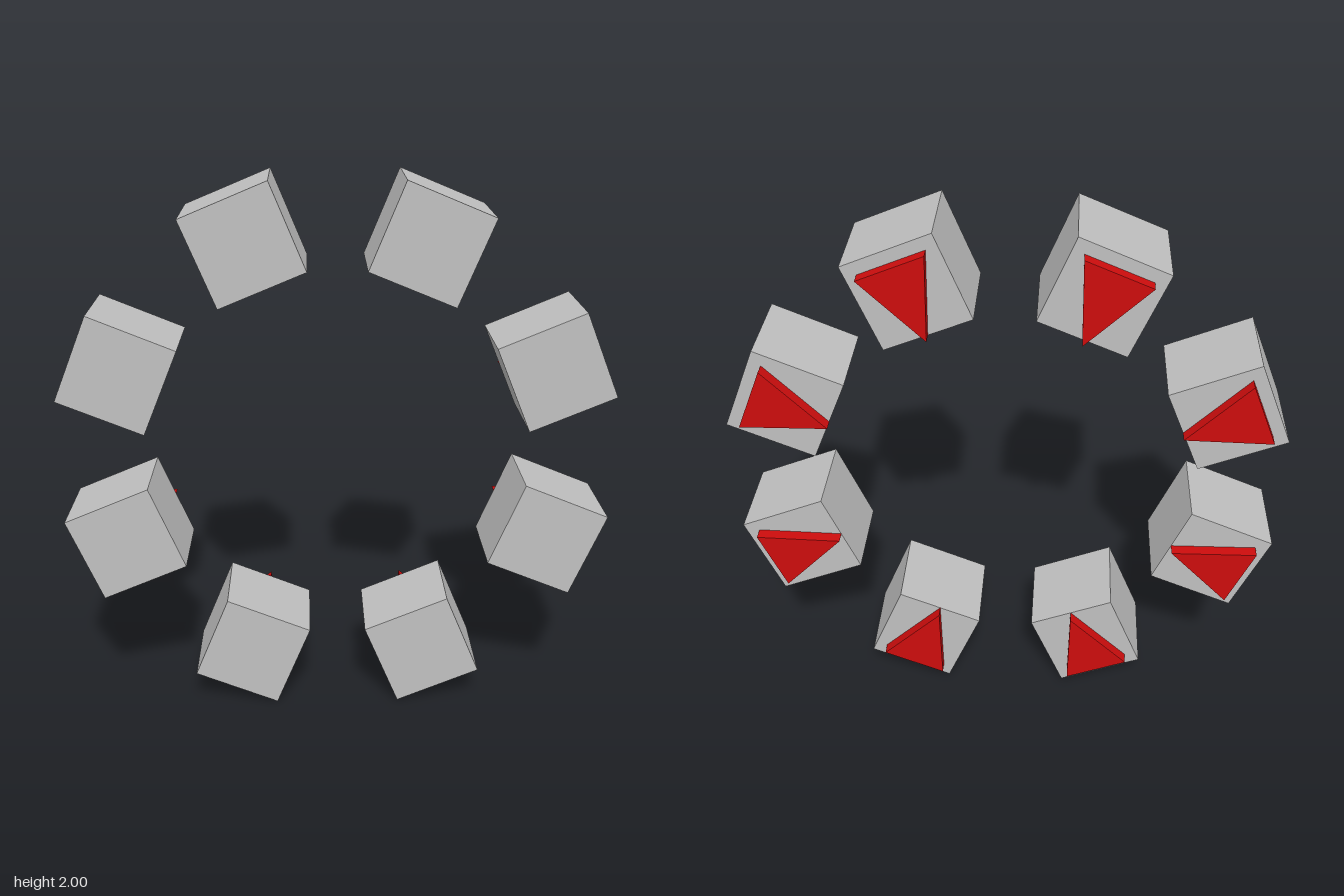
import * as THREE from 'three';

export function createModel() {
  const grey = new THREE.MeshStandardMaterial({ color: 0xc0c0c0 });
  grey.name = 'light grey';
  const red = new THREE.MeshStandardMaterial({ color: 0xcd0d0d });
  red.name = 'red';

  const side = 0.335, ringRadius = 0.845, backZ = -0.145;

  const cubeGeometry = new THREE.BoxGeometry(side, side, side);

  // Triangular pointer, aimed at the ring's centre (local -x)
  const outline = new THREE.Shape([
    new THREE.Vector2(-0.168, 0),
    new THREE.Vector2(0.121, -0.125),
    new THREE.Vector2(0.121, 0.125),
  ]);
  const pointerGeometry = new THREE.ExtrudeGeometry(outline, { depth: 0.045, bevelEnabled: false });

  const model = new THREE.Group();
  model.name = 'cubeRing';

  // Eight cubes, each turned to face the centre of the ring
  for (let i = 0; i < 8; i++) {
    const angle = (i + 0.5) * Math.PI / 4;
    const unit = new THREE.Group();
    unit.name = `ringUnit${i + 1}`;
    unit.position.set(Math.cos(angle) * ringRadius, 1 + Math.sin(angle) * ringRadius, 0);
    unit.rotation.z = angle;

    const cube = new THREE.Mesh(cubeGeometry, grey);
    cube.name = 'cube';
    cube.position.z = backZ + side / 2;

    // Pointer sits on the back face
    const pointer = new THREE.Mesh(pointerGeometry, red);
    pointer.name = 'pointer';
    pointer.position.z = backZ - 0.045;

    unit.add(cube, pointer);
    model.add(unit);
  }
  return model;
}
